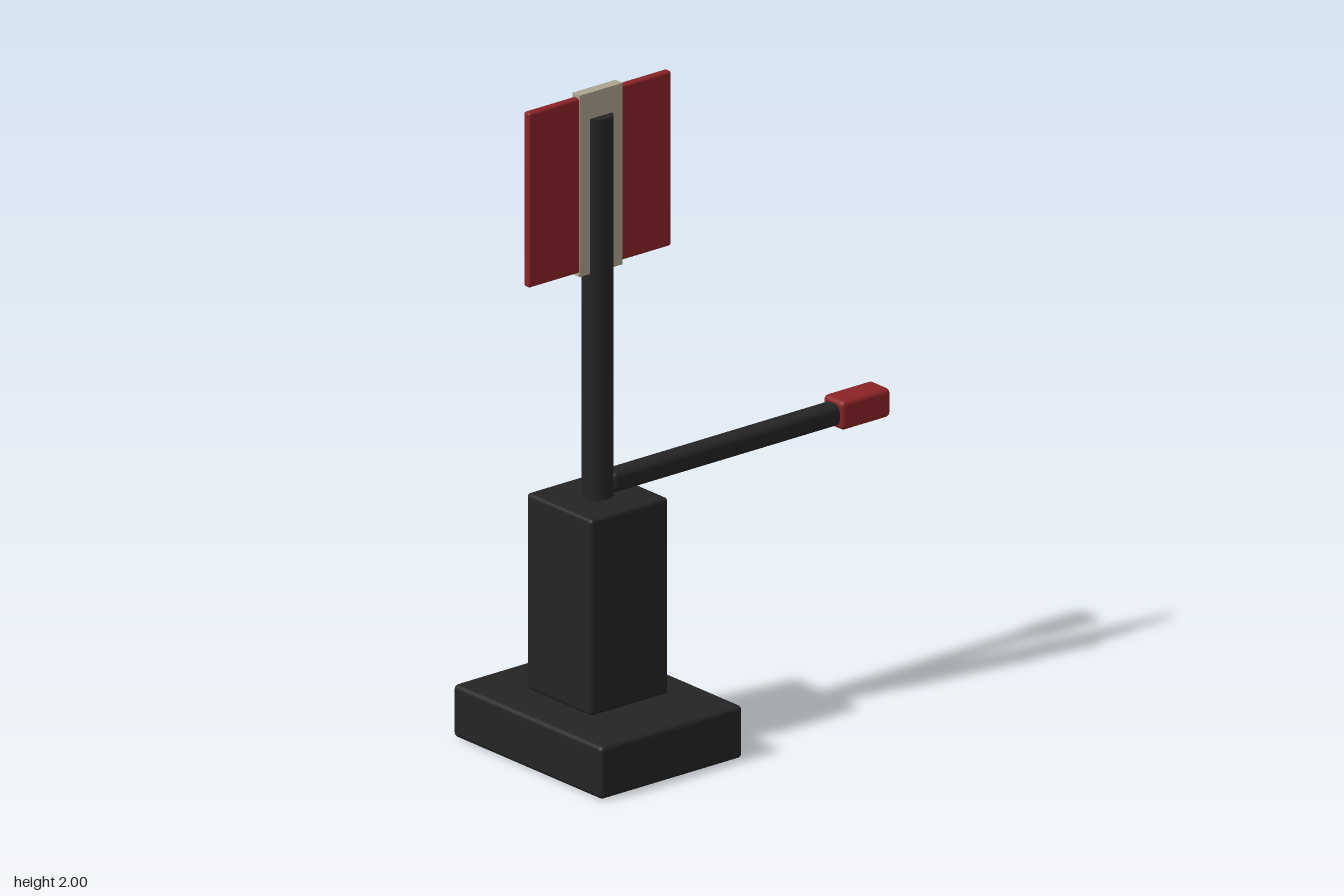
import * as THREE from 'three';
import { RoundedBoxGeometry } from 'three/addons/geometries/RoundedBoxGeometry.js';

const material = (name, color) => {
  const m = new THREE.MeshStandardMaterial({ color });
  m.name = name;
  return m;
};

export function createModel() {
  const black = material('black', 0x242424);
  const red = material('red', 0x8b2326);
  const cream = material('cream', 0xada58f);

  const group = new THREE.Group();
  group.name = 'switchStand';

  const add = (name, geometry, mat, x, y, z) => {
    const mesh = new THREE.Mesh(geometry, mat);
    mesh.name = name;
    mesh.position.set(x, y, z);
    group.add(mesh);
  };

  // Softened box given by half width and its y and z ranges
  const block = (name, mat, halfX, y0, y1, z0, z1, radius) =>
    add(name, new RoundedBoxGeometry(halfX * 2, y1 - y0, z1 - z0, 3, radius),
      mat, 0, (y0 + y1) / 2, (z0 + z1) / 2);

  // Base and pedestal, with a small gap between them
  block('base', black, 0.328, 0, 0.16, 0.13, 0.653, 0.015);
  block('pedestal', black, 0.144, 0.17, 0.765, 0.25, 0.536, 0.012);

  // Upright mast
  const mastZ = 0.393;
  add('mast', new THREE.CylinderGeometry(0.045, 0.045, 1.17, 32), black, 0, 1.335, mastZ);

  // Target plate with its pale centre stripe
  block('target', red, 0.013, 1.46, 1.99, 0.13, 0.656, 0.008);
  add('targetStripe', new THREE.BoxGeometry(0.032, 0.55, 0.158), cream, 0, 1.725, mastZ);

  // Throw lever and its grip
  block('lever', black, 0.032, 0.766, 0.83, -0.52, 0.36, 0.02);
  block('grip', red, 0.045, 0.755, 0.843, -0.653, -0.473, 0.015);

  return group;
}
